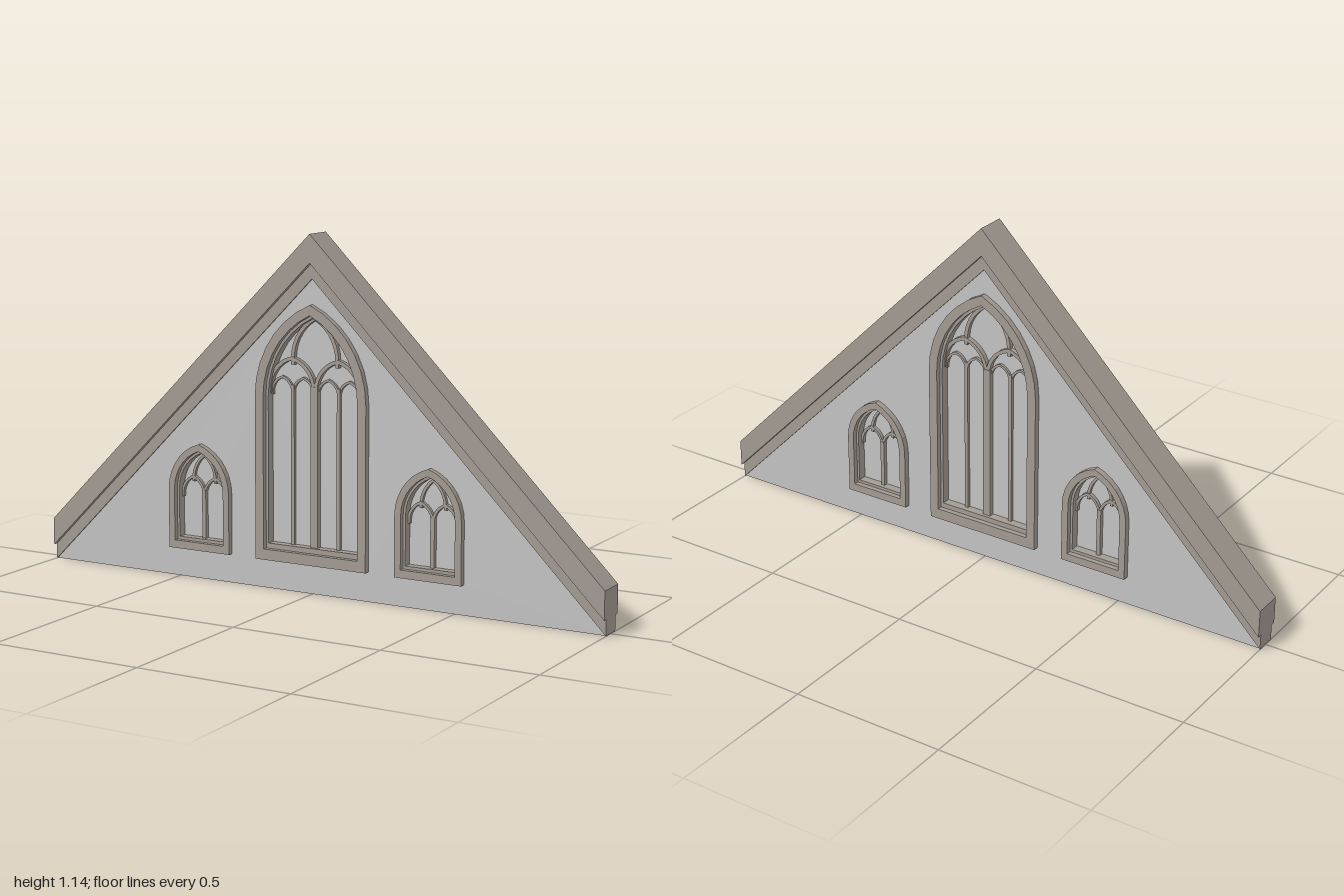
import * as THREE from 'three';

const stone = new THREE.MeshStandardMaterial({ color: 0xa39b93 });
stone.name = 'trim stone';
const plaster = new THREE.MeshStandardMaterial({ color: 0xc3c3c3 });
plaster.name = 'wall grey';

// Outline of a pointed arch with vertical jambs, from bottom right over the apex to bottom left
function archPoints(cx, half, bottom, spring, rise, inset = 0, sill = inset, n = 7) {
  const c = (half * half - rise * rise) / (2 * half);
  const r = half - c - inset;
  const end = Math.acos(Math.min(1, -c / r));
  const right = [[half - inset, bottom + sill]];
  for (let i = 0; i <= n; i++) {
    const a = (end * i) / n;
    right.push([c + r * Math.cos(a), spring + r * Math.sin(a)]);
  }
  const left = right.slice(0, -1).reverse().map(([x, y]) => [-x, y]);
  return [...right, ...left].map(([x, y]) => new THREE.Vector2(cx + x, y));
}

// Extrudes a flat shape evenly to both sides of z = 0
function slab(name, points, halfDepth, material, holes = []) {
  const shape = new THREE.Shape(points);
  holes.forEach((h) => shape.holes.push(new THREE.Path(h)));
  const geo = new THREE.ExtrudeGeometry(shape, { depth: halfDepth * 2, bevelEnabled: false });
  geo.translate(0, 0, -halfDepth);
  const mesh = new THREE.Mesh(geo, material);
  mesh.name = name;
  return mesh;
}

// Open-footed arched rib
function rib(name, cx, half, foot, spring, rise, width, depth) {
  const outer = archPoints(cx, half, foot, spring, rise);
  const inner = archPoints(cx, half, foot, spring, rise, width, 0);
  return slab(name, [...outer, ...inner.reverse()], depth, stone);
}

function bar(name, x, y0, y1, width, depth) {
  const mesh = new THREE.Mesh(new THREE.BoxGeometry(width, y1 - y0, depth * 2), stone);
  mesh.position.set(x, (y0 + y1) / 2, 0);
  mesh.name = name;
  return mesh;
}

// Stepped surround and recessed pane shared by all windows
function surround(g, w) {
  const at = (inset, sill) => archPoints(w.cx, w.half, w.bottom, w.spring, w.rise, inset, sill);
  g.add(slab('outerFrame', at(0, 0), 0.05, stone, [at(w.t1, w.s1)]));
  g.add(slab('innerFrame', at(w.t1, w.s1), 0.033, stone, [at(w.t2, w.s2)]));
  g.add(slab('pane', at(w.t1, w.s1), 0.004, plaster));
}

function largeWindow(w) {
  const g = new THREE.Group();
  g.name = 'largeWindow';
  surround(g, w);
  const foot = w.bottom + w.s2;
  g.add(bar('centreMullion', 0, foot, 0.66, 0.026, 0.022));
  g.add(rib('upperTracery', 0, 0.086, 0.725, 0.745, 0.137, 0.012, 0.018));
  for (const s of [-1, 1]) {
    g.add(rib('lancetArch', s * 0.083, 0.086, 0.63, 0.645, 0.106, 0.012, 0.02));
    g.add(bar('thinMullion', s * 0.083, foot, 0.66, 0.012, 0.014));
    for (const k of [-1, 1])
      g.add(rib('smallLancetArch', s * 0.083 + k * 0.038, 0.041, 0.625, 0.635, 0.052, 0.008, 0.013));
  }
  return g;
}

function smallWindow(w) {
  const g = new THREE.Group();
  g.name = 'smallWindow';
  surround(g, w);
  g.add(bar('mullion', w.cx, w.bottom + w.s2, 0.29, 0.014, 0.018));
  g.add(rib('upperTracery', w.cx, 0.046, 0.315, 0.325, 0.085, 0.009, 0.015));
  for (const s of [-1, 1])
    g.add(rib('lancetArch', w.cx + s * 0.042, 0.046, 0.262, 0.272, 0.064, 0.009, 0.016));
  return g;
}

// Sloped coping band between two gable lines, given by apex heights
function coping(name, low, high, halfDepth) {
  const pts = [[-1, low - 1], [0, low], [1, low - 1], [1, high - 1], [0, high], [-1, high - 1]];
  return slab(name, pts.map(([x, y]) => new THREE.Vector2(x, y)), halfDepth, stone);
}

export function createModel() {
  const model = new THREE.Group();
  model.name = 'gable';

  const large = { cx: 0, half: 0.2, bottom: 0.095, spring: 0.62, rise: 0.3, t1: 0.03, s1: 0.035, t2: 0.039, s2: 0.052 };
  const smalls = [-1, 1].map((s) => ({
    cx: s * 0.416, half: 0.115, bottom: 0.095, spring: 0.29, rise: 0.155, t1: 0.022, s1: 0.026, t2: 0.03, s2: 0.036,
  }));

  // Wall pierced by the three window openings
  const tri = [[-1, 0], [1, 0], [0, 1]].map(([x, y]) => new THREE.Vector2(x, y));
  const holes = [large, ...smalls].map((w) => archPoints(w.cx, w.half, w.bottom, w.spring, w.rise, 0.005));
  model.add(slab('wall', tri, 0.03, plaster, holes));

  // Stepped coping along both slopes
  model.add(coping('lowerCoping', 1, 1.05, 0.035));
  model.add(coping('upperCoping', 1.05, 1.14, 0.05));

  model.add(largeWindow(large));
  smalls.forEach((w) => model.add(smallWindow(w)));
  return model;
}
